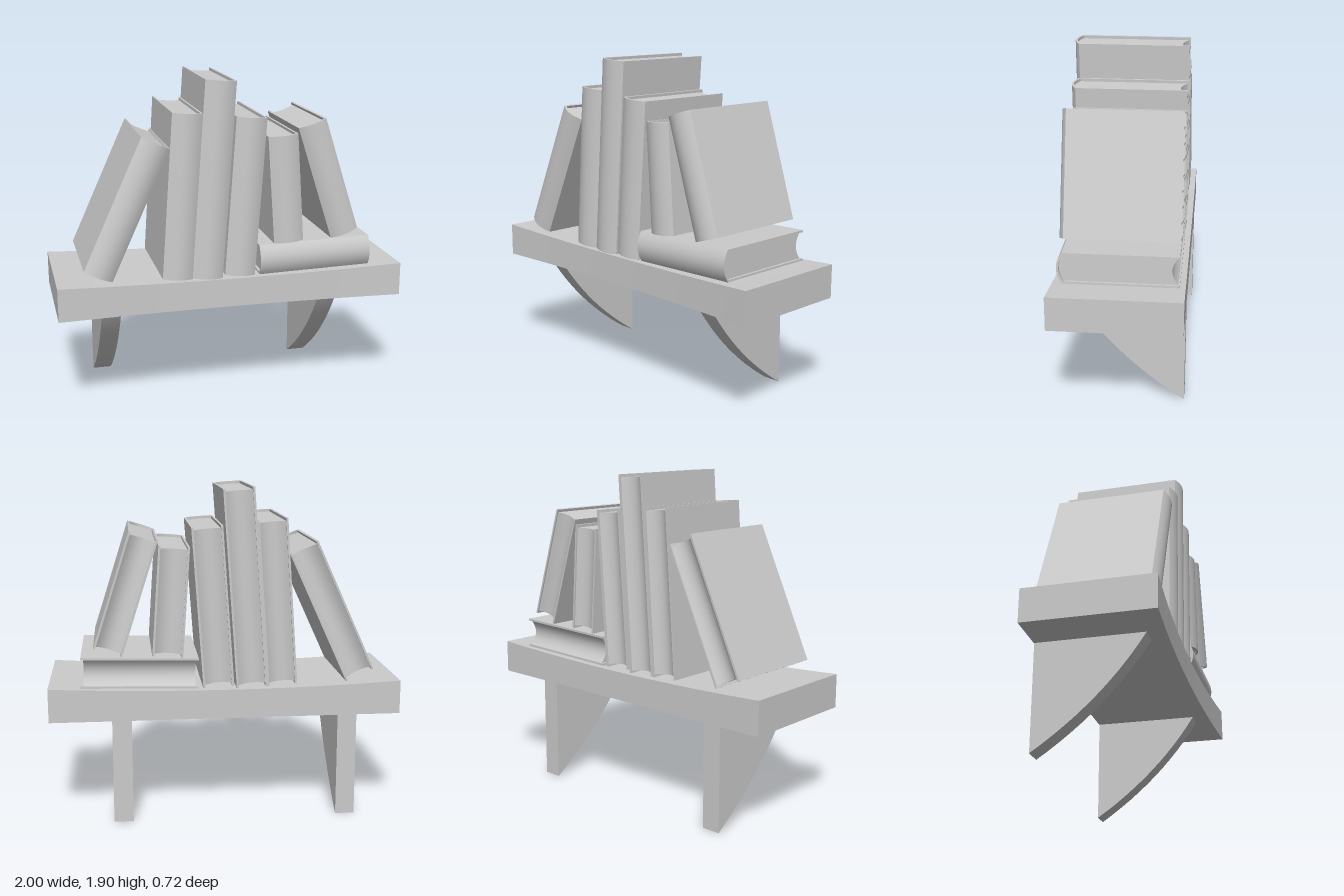
import * as THREE from 'three';
import { toCreasedNormals } from 'three/addons/utils/BufferGeometryUtils.js';

const material = new THREE.MeshStandardMaterial({ color: 0xcccccc });

function addMesh(parent, name, geometry) {
  const mesh = new THREE.Mesh(toCreasedNormals(geometry, 0.5), material);
  mesh.name = name;
  parent.add(mesh);
  return mesh;
}

// Extrudes a plan outline, drawn in x and -z, upwards from y0 to y1
function extrudeUp(shape, y0, y1) {
  const geometry = new THREE.ExtrudeGeometry(shape, { depth: y1 - y0, bevelEnabled: false, curveSegments: 12 });
  return geometry.rotateX(-Math.PI / 2).translate(0, y0, 0);
}

// A hardback book standing on the origin, rounded spine towards +z
function createBook(name, thickness, height) {
  const book = new THREE.Group();
  book.name = name;
  const h = thickness / 2, c = 0.012, i = h - c;
  const recess = 0.016;

  // Cover: two boards joined by the curved spine
  const cover = new THREE.Shape();
  cover.moveTo(-h, 0.328);
  cover.lineTo(-h, -0.293);
  cover.quadraticCurveTo(0, -0.352, h, -0.293);
  cover.lineTo(h, 0.328);
  cover.lineTo(i, 0.328);
  cover.lineTo(i, -0.285);
  cover.quadraticCurveTo(0, -0.335, -i, -0.285);
  cover.lineTo(-i, 0.328);
  cover.closePath();
  addMesh(book, 'cover', extrudeUp(cover, 0, height));

  // Pages: set in at both ends, with a hollow fore edge
  const pages = new THREE.Shape();
  pages.moveTo(-i, 0.32);
  pages.lineTo(-i, -0.285);
  pages.quadraticCurveTo(0, -0.335, i, -0.285);
  pages.lineTo(i, 0.32);
  pages.quadraticCurveTo(0, 0.255, -i, 0.32);
  addMesh(book, 'pages', extrudeUp(pages, recess, height - recess));
  return book;
}

// Shelf board: top sags and front edge bows in towards the middle
function createShelf(parent) {
  const geometry = new THREE.BoxGeometry(2, 0.19, 0.72, 24, 1, 1).translate(0, 0.695, 0);
  const p = geometry.attributes.position;
  for (let k = 0; k < p.count; k++) {
    const bow = 1 - p.getX(k) ** 2;
    if (p.getY(k) > 0.7) p.setY(k, 0.793 - 0.027 * bow);
    if (p.getZ(k) > 0) p.setZ(k, 0.358 - 0.033 * bow);
  }
  addMesh(parent, 'shelf', geometry);
}

// Bracket under the shelf with a curved front edge
function createBracket(parent, name, x) {
  const side = new THREE.Shape();
  side.moveTo(0.358, 0);
  side.lineTo(0.358, 0.602);
  side.lineTo(-0.245, 0.602);
  side.quadraticCurveTo(-0.02, 0.25, 0.358, 0);
  const geometry = new THREE.ExtrudeGeometry(side, { depth: 0.11, bevelEnabled: false, curveSegments: 12 });
  geometry.translate(0, 0, -0.055).rotateY(Math.PI / 2);
  addMesh(parent, name, geometry).position.x = x;
}

export function createModel() {
  const model = new THREE.Group();
  model.name = 'bookshelf';
  createShelf(model);
  createBracket(model, 'rightBracket', -0.693);
  createBracket(model, 'leftBracket', 0.593);

  // Books: name, middle of the foot (x, y), middle of the head (x, y), thickness
  const books = [
    ['leaningBookRight', -0.768, 0.825, -0.432, 1.562, 0.173],
    ['uprightBook1', -0.32, 0.778, -0.255, 1.718, 0.172],
    ['tallBook', -0.147, 0.77, -0.068, 1.89, 0.176],
    ['uprightBook2', 0.043, 0.776, 0.107, 1.682, 0.176],
    ['shortBook', 0.33, 0.955, 0.288, 1.574, 0.174],
    ['leaningBookLeft', 0.665, 0.985, 0.456, 1.635, 0.168],
    ['lyingBook', 0.158, 0.857, 0.818, 0.873, 0.175],
  ];
  for (const [name, x0, y0, x1, y1, thickness] of books) {
    const book = createBook(name, thickness, Math.hypot(x1 - x0, y1 - y0));
    book.position.set(x0, y0, 0);
    book.rotation.z = -Math.atan2(x1 - x0, y1 - y0);
    model.add(book);
  }
  return model;
}
